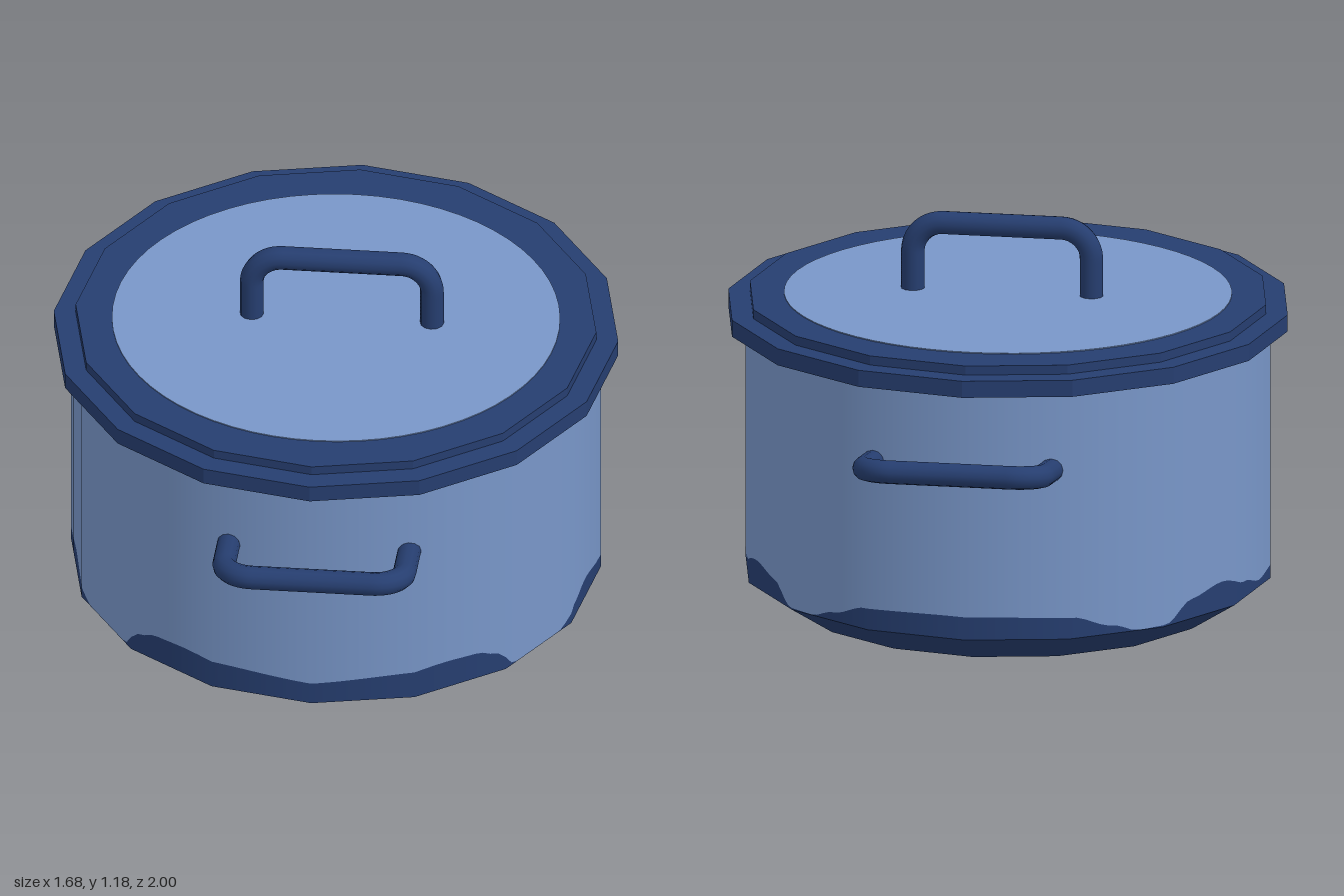
import * as THREE from 'three';

const SIDES = 16;
const BODY_R = 0.787;
const BASE_Y = 0.095;
const TOP_Y = 0.87;

// Height of the dark wavy band by angle from the front (degrees), mirrored left to right.
const WAVE = [[0, 0.165], [30, 0.187], [38, 0.183], [43, 0.16], [48, 0.096], [63, 0.096], [70, 0.143],
  [78, 0.16], [88, 0.14], [97, 0.116], [106, 0.145], [116, 0.18], [126, 0.155], [134, 0.1],
  [141, 0.096], [147, 0.12], [157, 0.16], [180, 0.165]];

function waveHeight(angle) {
  let a = THREE.MathUtils.radToDeg(angle) % 360;
  if (a > 180) a = 360 - a;
  for (let i = 1; i < WAVE.length; i++) {
    const [a0, h0] = WAVE[i - 1], [a1, h1] = WAVE[i];
    if (a <= a1) {
      const t = (a - a0) / (a1 - a0);
      return h0 + (h1 - h0) * t * t * (3 - 2 * t);
    }
  }
  return WAVE[WAVE.length - 1][1];
}

// Wall band that follows the many-sided outline, with smooth normals.
function wallBand(low, high) {
  const pos = [], nor = [], idx = [], n = SIDES * 12, step = (Math.PI * 2) / SIDES;
  for (let i = 0; i <= n; i++) {
    const a = (i / n) * Math.PI * 2;
    const r = (BODY_R * Math.cos(step / 2)) / Math.cos((a % step) - step / 2);
    const s = Math.sin(a), c = Math.cos(a);
    pos.push(r * s, low(a), r * c, r * s, high(a), r * c);
    nor.push(s, 0, c, s, 0, c);
    if (i < n) {
      const k = i * 2;
      idx.push(k, k + 2, k + 1, k + 1, k + 2, k + 3);
    }
  }
  const g = new THREE.BufferGeometry();
  g.setAttribute('position', new THREE.Float32BufferAttribute(pos, 3));
  g.setAttribute('normal', new THREE.Float32BufferAttribute(nor, 3));
  g.setIndex(idx);
  return g;
}

// Faceted closed disc or cone section between two heights.
function facetedDisc(rTop, rBottom, y0, y1) {
  const g = new THREE.CylinderGeometry(rTop, rBottom, y1 - y0, SIDES).toNonIndexed();
  g.computeVertexNormals();
  return g.translate(0, (y0 + y1) / 2, 0);
}

// Bent-rod handle: two legs joined by a bar; "from" and "to" are the leg's [y, z] ends.
function handleGeometry(from, to) {
  const x0 = -0.25, x1 = 0.285, r = 0.09;
  const len = Math.hypot(to[0] - from[0], to[1] - from[1]);
  const at = (x, d) => new THREE.Vector3(x,
    from[0] + ((to[0] - from[0]) * d) / len, from[1] + ((to[1] - from[1]) * d) / len);
  const path = new THREE.CurvePath();
  const k = r * 0.45;
  path.add(new THREE.LineCurve3(at(x0, 0), at(x0, len - r)));
  path.add(new THREE.CubicBezierCurve3(at(x0, len - r), at(x0, len - k), at(x0 + k, len), at(x0 + r, len)));
  path.add(new THREE.LineCurve3(at(x0 + r, len), at(x1 - r, len)));
  path.add(new THREE.CubicBezierCurve3(at(x1 - r, len), at(x1 - k, len), at(x1, len - k), at(x1, len - r)));
  path.add(new THREE.LineCurve3(at(x1, len - r), at(x1, 0)));
  return new THREE.TubeGeometry(path, 72, 0.035, 12, false);
}

export function createModel() {
  const lightBlue = new THREE.MeshStandardMaterial({ color: 0x7896c8 });
  lightBlue.name = 'light blue';
  const navy = new THREE.MeshStandardMaterial({ color: 0x263e70 });
  navy.name = 'navy';

  const model = new THREE.Group();
  model.name = 'cookingPot';
  const add = (parent, name, geometry, material) => {
    const mesh = new THREE.Mesh(geometry, material);
    mesh.name = name;
    parent.add(mesh);
    return mesh;
  };

  // Pot body: bevelled base, wavy dark band and light wall
  const body = new THREE.Group();
  body.name = 'body';
  body.position.z = 0.005;
  model.add(body);
  add(body, 'base', facetedDisc(BODY_R, 0.64, 0, BASE_Y), navy);
  add(body, 'waveBand', wallBand(() => BASE_Y, waveHeight), navy);
  add(body, 'wall', wallBand(waveHeight, () => TOP_Y), lightBlue);

  // Lid: wide rim, raised tier and pale centre
  const lid = new THREE.Group();
  lid.name = 'lid';
  lid.position.z = 0.005;
  model.add(lid);
  add(lid, 'rim', facetedDisc(0.838, 0.838, 0.857, 0.908), navy);
  add(lid, 'tier', facetedDisc(0.773, 0.773, 0.9, 0.936), navy);
  const centre = add(lid, 'lidCentre', new THREE.CylinderGeometry(0.663, 0.663, 0.004, 64), lightBlue);
  centre.position.y = 0.937;
  centre.scale.z = 0.965;

  // Handles: one on the lid, one at the front and one at the back
  add(model, 'lidHandle', handleGeometry([0.92, 0.005], [1.143, 0.005]), navy);
  for (const [name, s] of [['frontHandle', 1], ['backHandle', -1]]) {
    add(model, name, handleGeometry([0.613, s * 0.715], [0.657, s * 0.965]), navy);
  }
  return model;
}
